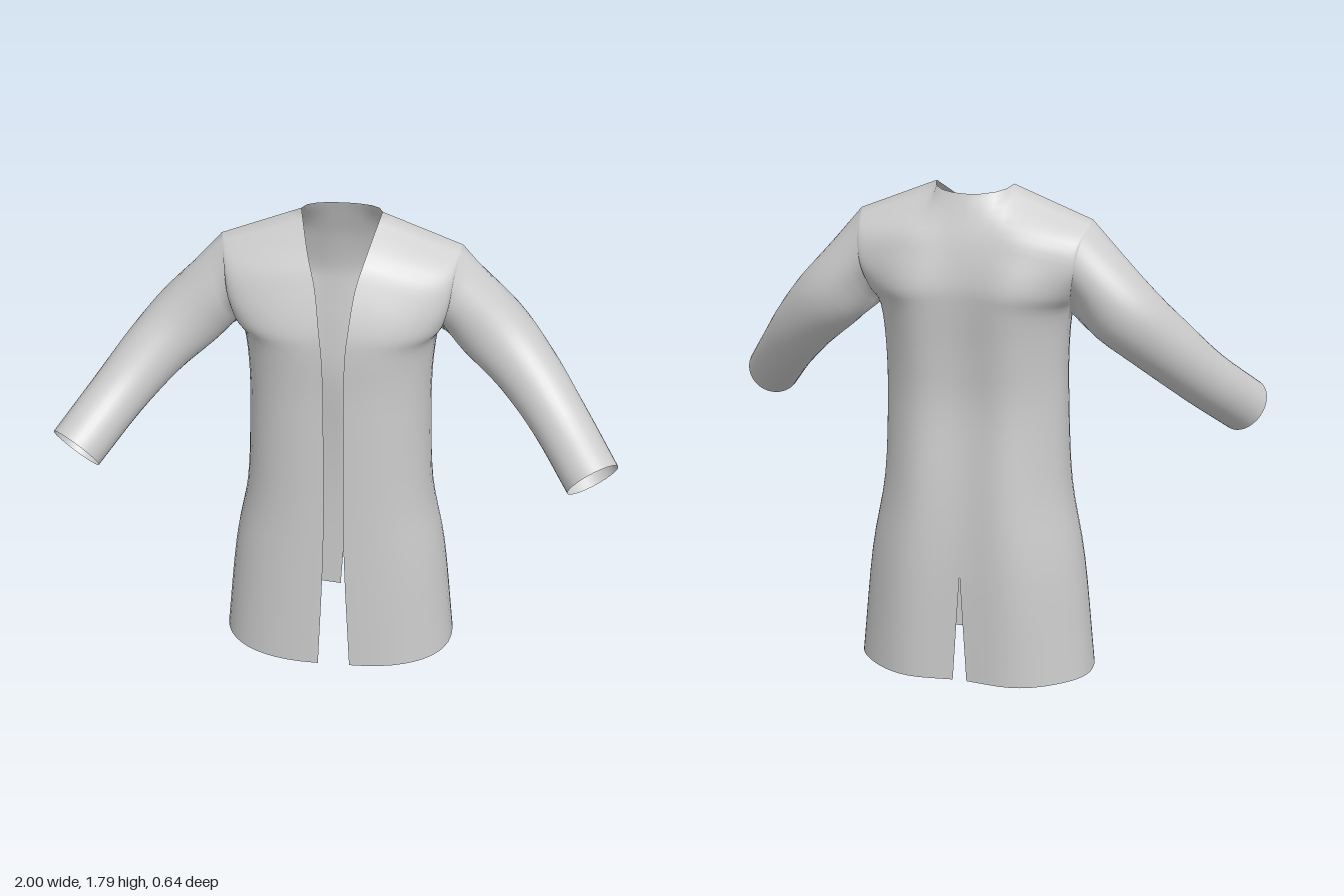
import * as THREE from 'three';
import { mergeVertices } from 'three/addons/utils/BufferGeometryUtils.js';

const V = (p) => new THREE.Vector3(...p);
const SUB = 4;          // sampled rows per key row
const NC = 12;          // columns of a front panel (and of the shoulder seam)
const NECK = 4;         // extra columns of the back panel along the neckline
const ARMPIT = 5;       // key row where the side seam turns into the armhole
const VENT = 0.41;      // height of the back vent
const POWER = 2.3;      // squareness of the body's cross-section

// Key lines of the left half, from hem to shoulder
const sideSeam = [[0.44, 0, -0.06], [0.397, VENT, -0.06], [0.345, 0.7, -0.06], [0.33, 1, -0.07],
  [0.33, 1.2, -0.08], [0.345, 1.35, -0.09]];
const shoulder = [0.42, 1.68, -0.09];
const neckSide = [0.14, 1.79, -0.09];
const frontArmhole = [[0.365, 1.42, 0], [0.385, 1.51, 0.04], [0.4, 1.61, 0.01], shoulder];
const backArmhole = [[0.365, 1.42, -0.17], [0.385, 1.51, -0.22], [0.4, 1.61, -0.19], shoulder];
const frontEdge = [[0.06, 0, 0.2], [0.042, VENT, 0.197], [0.035, 0.7, 0.195], [0.035, 1, 0.195],
  [0.035, 1.2, 0.195], [0.04, 1.37, 0.2], [0.05, 1.47, 0.19], [0.068, 1.6, 0.14], [0.1, 1.7, 0.07], neckSide];
const spine = [[0, 0, -0.3], [0, VENT, -0.295], [0, 0.7, -0.275], [0, 1, -0.245],
  [0, 1.2, -0.255], [0, 1.37, -0.275], [0, 1.47, -0.28], [0, 1.6, -0.255], [0, 1.7, -0.22], [0, 1.765, -0.195]];
const spineGroove = [0.03, 0.03, 0.03, 0.03, 0.03, 0.03, 0.03, 0.02, 0.01, 0];

// Smooth curve through key points, sampled evenly between the keys
function sampleKeys(keys) {
  const curve = new THREE.CatmullRomCurve3(keys, false, 'catmullrom', 0.5);
  return curve.getPoints((keys.length - 1) * SUB);
}

// Rounded quarter section between an inner edge point and an outer one
function section(inner, outer, cols, groove = 0) {
  const row = [];
  for (let j = 0; j <= cols; j++) {
    const a = (Math.PI / 2) * (j / cols);
    const s = Math.pow(Math.sin(a), 2 / POWER);
    const f = j === cols ? 0 : Math.pow(Math.cos(a), 2 / POWER);
    row.push(new THREE.Vector3(
      THREE.MathUtils.lerp(inner[0], outer[0], s),
      THREE.MathUtils.lerp(inner[1], outer[1], s),
      outer[2] + (inner[2] - outer[2]) * f - groove * Math.sin(Math.PI * s) ** 2));
  }
  return row;
}

// Key rows -> fine grid of rows
function refine(keyRows) {
  const columns = keyRows[0].map((_, j) => sampleKeys(keyRows.map((row) => row[j])));
  return columns[0].map((_, i) => columns.map((col) => col[i]));
}

function frontPanel() {
  const outer = [...sideSeam, ...frontArmhole];
  return refine(frontEdge.map((p, i) => section(p, outer[i], NC)));
}

function backPanel(front) {
  const outer = [...sideSeam, ...backArmhole];
  const rows = spine.map((p, i) => section(p, outer[i], NC + NECK, spineGroove[i]));
  // top row: curved neckline, then the shoulder seam shared with the front
  const neck = new THREE.CubicBezierCurve3(V(spine[9]), V([0.07, 1.765, -0.195]),
    V([0.135, 1.775, -0.165]), V(neckSide)).getPoints(NECK);
  rows[9] = [...neck.slice(0, NECK), ...front[front.length - 1]];
  const grid = refine(rows);
  grid.forEach((row, i) => {
    if (i <= ARMPIT * SUB) row[NC + NECK] = front[i][NC].clone();   // shared side seam
    row[0].x = Math.max(0, 0.026 * (1 - row[0].y / VENT));          // vent
  });
  return grid;
}

// Sleeve: first ring is the armhole, the next ones are circles along the arm
function sleeve(front, back) {
  const f = front.slice(ARMPIT * SUB).map((r) => r[NC]);
  const b = back.slice(ARMPIT * SUB).map((r) => r[NC + NECK]);
  const armhole = [...f, ...b.slice(0, -1).reverse()];
  const n = armhole.length - 1;
  const path = new THREE.CatmullRomCurve3([[0.385, 1.51, -0.09], [0.53, 1.365, -0.085],
    [0.665, 1.235, -0.02], [0.79, 1.1, 0.09], [0.915, 0.965, 0.25]].map(V), false, 'catmullrom', 0.5);
  const rings = [armhole];
  [0.13, 0.115, 0.103, 0.1].forEach((r, k) => {
    const t = (k + 1) / 4;
    const c = path.getPoint(t);
    const dir = path.getTangent(t);
    const down = new THREE.Vector3(0, -1, 0).addScaledVector(dir, dir.y).normalize();
    const fore = new THREE.Vector3().crossVectors(down, dir).normalize();
    if (fore.z < 0) fore.negate();
    rings.push(armhole.map((_, j) => {
      const a = (2 * Math.PI * (j % n)) / n;
      return c.clone().addScaledVector(down, r * Math.cos(a)).addScaledVector(fore, r * Math.sin(a));
    }));
  });
  return refine(rings);
}

export function createModel() {
  const positions = [];
  const index = [];

  // Adds a grid of points as quads; flip turns the faces, side = -1 mirrors it
  function addGrid(grid, flip, side) {
    const base = positions.length / 3;
    const w = grid[0].length;
    grid.forEach((row) => row.forEach((p) => positions.push(p.x * side, p.y, p.z)));
    for (let i = 0; i < grid.length - 1; i++) {
      for (let j = 0; j < w - 1; j++) {
        const a = base + i * w + j, b = a + 1, c = b + w, d = a + w;
        if (flip !== (side < 0)) index.push(a, c, b, a, d, c);
        else index.push(a, b, c, a, c, d);
      }
    }
  }

  const front = frontPanel();
  const back = backPanel(front);
  const arm = sleeve(front, back);
  const parts = [];
  function part(name, build) {
    const start = index.length;
    build();
    parts.push({ name, start, end: index.length });
  }
  part('coatBody', () => [1, -1].forEach((side) => {
    addGrid(front, false, side);
    addGrid(back, true, side);
  }));
  part('leftSleeve', () => addGrid(arm, true, 1));
  part('rightSleeve', () => addGrid(arm, true, -1));

  // Weld the whole coat so the shading runs smoothly over the seams
  let whole = new THREE.BufferGeometry();
  whole.setAttribute('position', new THREE.Float32BufferAttribute(positions, 3));
  whole.setIndex(index);
  whole = mergeVertices(whole, 1e-4);
  whole.computeVertexNormals();
  const welded = Array.from(whole.index.array);

  const material = new THREE.MeshStandardMaterial({ color: 0xcccccc, side: THREE.DoubleSide });
  const group = new THREE.Group();
  group.name = 'coat';
  for (const { name, start, end } of parts) {
    const g = new THREE.BufferGeometry();
    g.setAttribute('position', whole.getAttribute('position'));
    g.setAttribute('normal', whole.getAttribute('normal'));
    g.setIndex(welded.slice(start, end));
    const mesh = new THREE.Mesh(g.toNonIndexed(), material);
    mesh.name = name;
    group.add(mesh);
  }
  return group;
}
